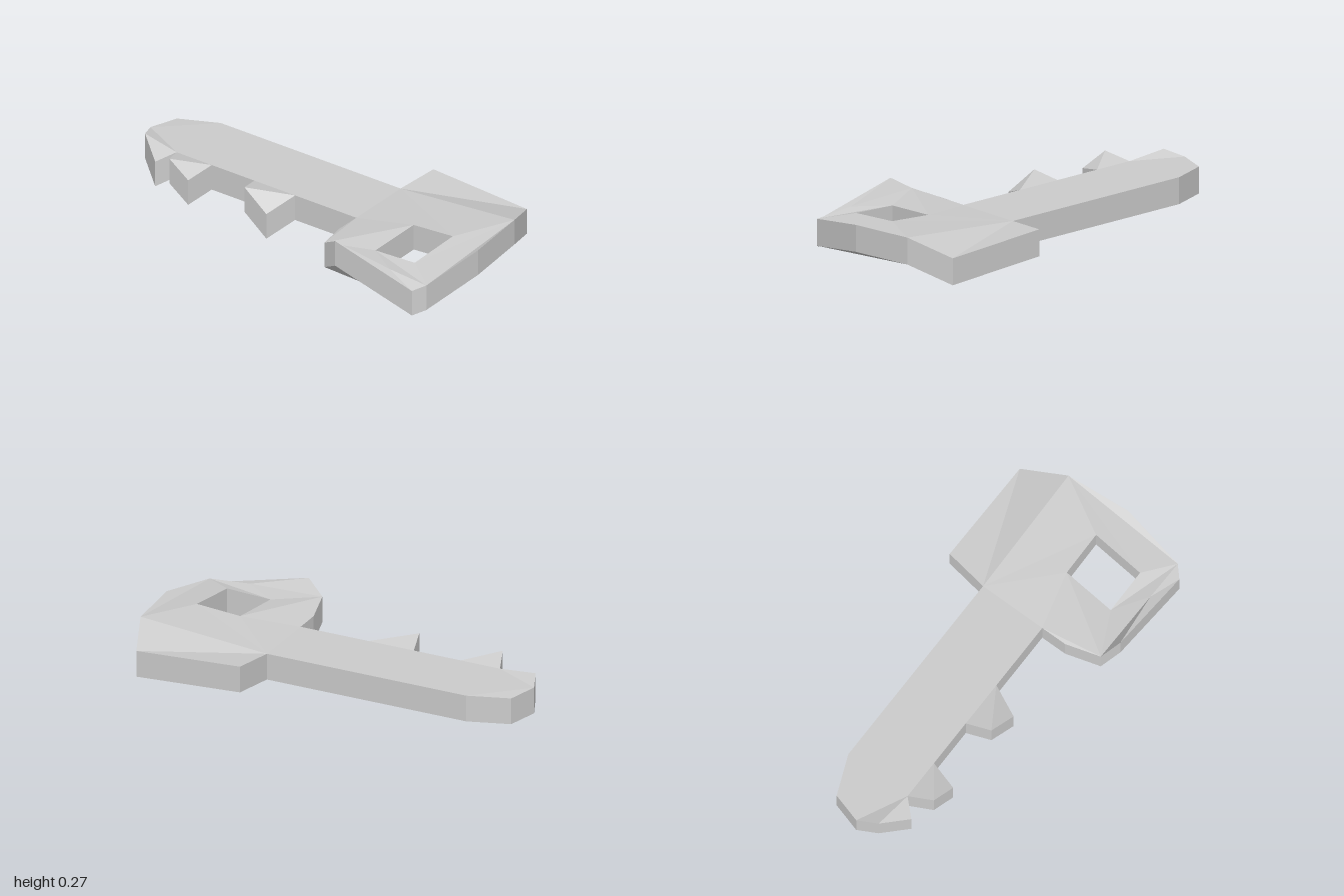
import * as THREE from 'three';

const THICK = 0.133;   // constant thickness of the hammered plate
const FLAT = 0.188;    // top height of the flat blade
const material = new THREE.MeshStandardMaterial({ color: 0xcccccc, flatShading: true });

// Points are [x, z, top height]. Panels become top and bottom faces,
// runs of points become the vertical walls (outside on the left of travel).
function plate(name, panels, runs) {
  const pos = [];
  const vert = (p, low) => pos.push(p[0], (p[2] ?? FLAT) - (low ? THICK : 0), p[1]);
  for (const panel of panels) {
    const flat = panel.map(p => new THREE.Vector2(p[0], p[1]));
    for (const tri of THREE.ShapeUtils.triangulateShape(flat, [])) {
      let [a, b, c] = tri.map(i => panel[i]);
      const cross = (b[1] - a[1]) * (c[0] - a[0]) - (b[0] - a[0]) * (c[1] - a[1]);
      if (cross < 0) [b, c] = [c, b];
      [a, b, c].forEach(p => vert(p, false));
      [a, c, b].forEach(p => vert(p, true));
    }
  }
  for (const run of runs) {
    for (let i = 0; i + 1 < run.length; i++) {
      const a = run[i], b = run[i + 1];
      vert(a, false); vert(b, false); vert(b, true);
      vert(a, false); vert(b, true); vert(a, true);
    }
  }
  const geometry = new THREE.BufferGeometry();
  geometry.setAttribute('position', new THREE.Float32BufferAttribute(pos, 3));
  geometry.computeVertexNormals();
  const mesh = new THREE.Mesh(geometry, material);
  mesh.name = name;
  return mesh;
}

export function createModel() {
  const key = new THREE.Group();
  key.name = 'key';

  // Shared corners where the blade meets the bow
  const neckBack = [0.3, -0.25], neckFront = [0.3, 0.1];

  // Teeth: inner left, outer left (raised), outer right (lowered), inner right
  const teeth = [
    [[-0.3, 0.1], [-0.265, 0.225, 0.22], [-0.12, 0.247, 0.133], [-0.06, 0.1]],
    [[-0.757, 0.1], [-0.71, 0.22, 0.223], [-0.585, 0.24, 0.157], [-0.55, 0.1]],
  ];
  for (const [a, b, c, d] of teeth) {
    key.add(plate('tooth', [[a, b, d], [b, c, d]], [[d, c, b, a]]));
  }

  // Blade with its pointed tip
  const tip = [-1, -0.02, 0.188], tipBack = [-0.955, -0.17, 0.182];
  const shoulder = [-0.757, -0.25], tipFront = [-0.957, 0.08, 0.213];
  const [t3, t2] = teeth;
  key.add(plate('blade', [
    [tip, tipBack, shoulder],
    [tip, shoulder, t2[0], tipFront],
    [shoulder, neckBack, neckFront, t3[3], t3[0], t2[3], t2[0]],
  ], [
    [tipFront, tip, tipBack, shoulder, neckBack],
    [neckFront, t3[3]], [t3[0], t2[3]],
  ]));

  // End tooth at the tip
  const endTooth = [-0.827, 0.175, 0.147];
  key.add(plate('endTooth', [[tipFront, endTooth, t2[0]]], [[t2[0], endTooth, tipFront]]));

  // Bow: warped plate around a four-sided hole
  const backLeft = [0.33, -0.47, 0.203], backRight = [0.88, -0.47, 0.172];
  const rightBack = [0.97, -0.25, 0.243], rightMid = [1, 0.08, 0.237];
  const rightFront = [0.945, 0.415, 0.18], frontRight = [0.895, 0.462, 0.155];
  const frontLeft = [0.44, 0.457, 0.27], leftFront = [0.345, 0.412, 0.21];
  const leftMid = [0.3, 0.235, 0.19], crease = [0.73, 0.415, 0.197];
  const hole = [
    [0.585, 0.03, 0.213], [0.565, 0.305, 0.193], [0.795, 0.305, 0.203], [0.815, 0.03, 0.229],
  ];
  const [h0, h1, h2, h3] = hole;
  key.add(plate('bow', [
    [neckBack, backLeft, backRight, rightBack],
    [neckBack, rightBack, h3, h0],
    [rightBack, rightMid, rightFront, h2, h3],
    [h1, h2, rightFront, crease, leftFront],
    [neckBack, h0, h1, leftFront, leftMid, neckFront],
    [leftFront, frontLeft, crease],
    [frontLeft, frontRight, crease],
    [frontRight, rightFront, crease],
  ], [
    [neckBack, backLeft, backRight, rightBack, rightMid, rightFront,
      frontRight, frontLeft, leftFront, leftMid, neckFront],
    [...hole, h0],
  ]));

  return key;
}
